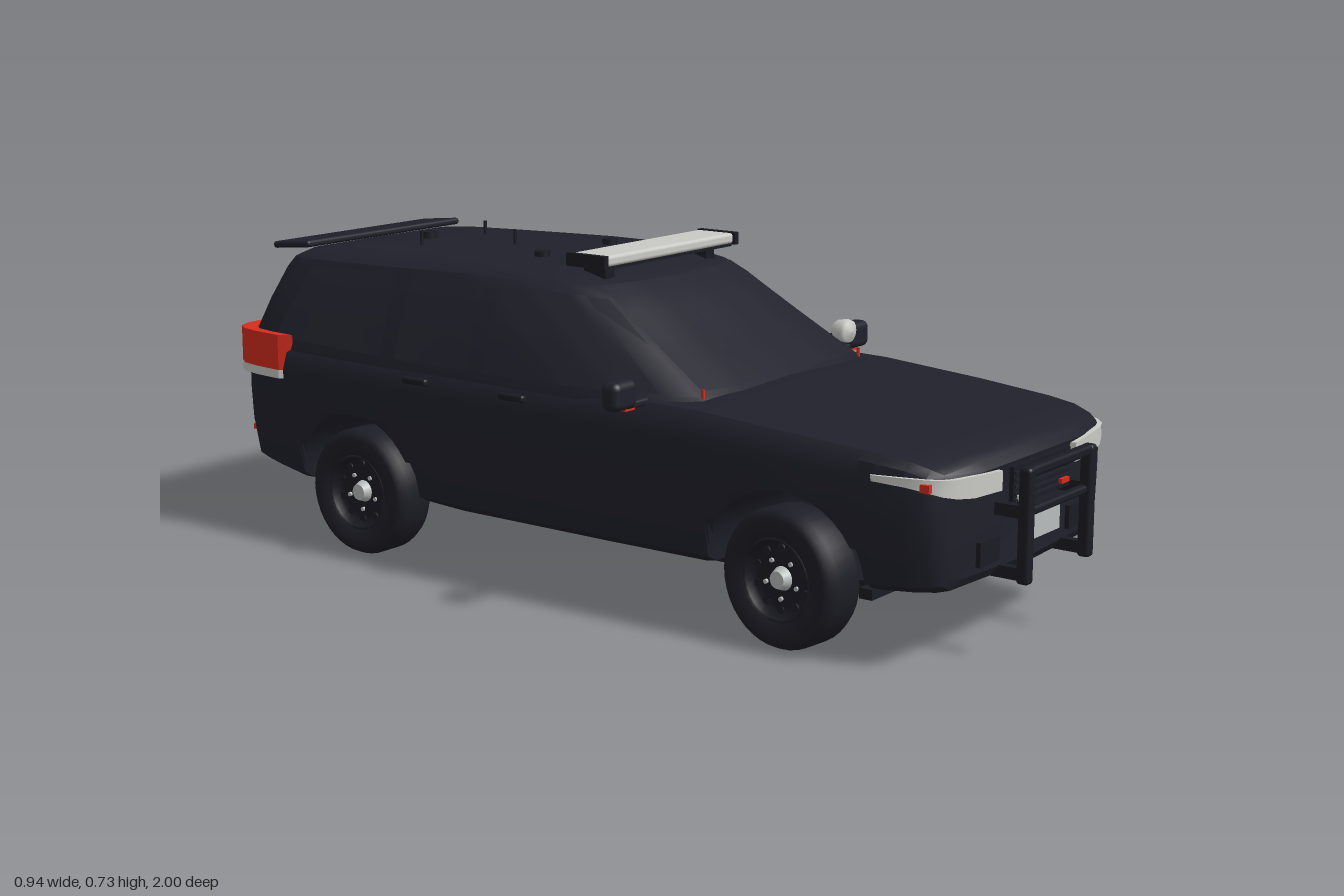
import * as THREE from 'three';
import { toCreasedNormals } from 'three/addons/utils/BufferGeometryUtils.js';
import { RoundedBoxGeometry } from 'three/addons/geometries/RoundedBoxGeometry.js';

const mat = (name, color, side = THREE.FrontSide) => {
  const m = new THREE.MeshStandardMaterial({ color, side });
  m.name = name;
  return m;
};

// Piecewise-linear lookup in rows sorted by their first column
function lerp(rows, v, col = 1) {
  if (v <= rows[0][0]) return rows[0][col];
  for (let i = 1; i < rows.length; i++) {
    const a = rows[i - 1], b = rows[i];
    if (v <= b[0]) return a[col] + (b[col] - a[col]) * (v - a[0]) / (b[0] - a[0] || 1);
  }
  return rows[rows.length - 1][col];
}

// Closed skin over rings of equal length, capped at both ends and turned outwards
function loft(rings, crease = 0.6) {
  const n = rings[0].length, pos = rings.flat(2), idx = [];
  for (let r = 0; r < rings.length - 1; r++)
    for (let i = 0; i < n; i++) {
      const a = r * n + i, b = r * n + (i + 1) % n;
      idx.push(a, b, a + n, b, b + n, a + n);
    }
  [0, rings.length - 1].forEach(r => {
    const c = [0, 1, 2].map(k => rings[r].reduce((s, p) => s + p[k], 0) / n);
    const ci = pos.length / 3;
    pos.push(...c);
    for (let i = 0; i < n; i++) {
      const a = r * n + i, b = r * n + (i + 1) % n;
      r ? idx.push(a, b, ci) : idx.push(b, a, ci);
    }
  });
  let volume = 0;
  const P = i => new THREE.Vector3().fromArray(pos, i * 3);
  for (let i = 0; i < idx.length; i += 3) volume += P(idx[i]).dot(P(idx[i + 1]).cross(P(idx[i + 2])));
  if (volume < 0) idx.reverse();
  const g = new THREE.BufferGeometry();
  g.setAttribute('position', new THREE.Float32BufferAttribute(pos, 3));
  g.setIndex(idx);
  return toCreasedNormals(g, crease);
}
const mirrorRing = half => [...half, ...half.slice(1, -1).reverse().map(p => [-p[0], p[1], p[2]])];

// Lower body stations: z, half width, bottom, top
const BODY = [
  [-0.992, 0.30, 0.2, 0.455], [-0.975, 0.338, 0.175, 0.468], [-0.95, 0.358, 0.165, 0.47], [-0.9, 0.372, 0.16, 0.47],
  [-0.8, 0.381, 0.145, 0.47], [-0.3, 0.384, 0.14, 0.47], [0.1, 0.383, 0.14, 0.47], [0.36, 0.378, 0.14, 0.465],
  [0.6, 0.372, 0.145, 0.448], [0.78, 0.36, 0.15, 0.433], [0.85, 0.352, 0.155, 0.425], [0.9, 0.341, 0.16, 0.412],
  [0.925, 0.327, 0.165, 0.402], [0.94, 0.30, 0.185, 0.385]];
const SECTION = [[0, 0], [0.86, 0], [0.94, 0.06], [0.985, 0.3], [1, 0.55], [1, 0.8], [0.985, 0.92], [0.94, 0.98], [0.6, 1.01], [0, 1.03]];
const AXLES = [0.57, -0.59], WHEEL_R = 0.145, ARCH_R = 0.183;

function bodyGeometry() {
  const stations = BODY.map(r => [r[0], r[2]]).filter(s => AXLES.every(c => Math.abs(s[0] - c) > ARCH_R));
  for (const c of AXLES)
    for (let i = 0; i <= 18; i++) {
      const a = i * Math.PI / 18;
      stations.push([c + ARCH_R * Math.cos(a), 0.145 + ARCH_R * Math.sin(a)]);
    }
  stations.sort((a, b) => a[0] - b[0]);
  return loft(stations.map(([z, floor]) => {
    const w = lerp(BODY, z, 1), yb = lerp(BODY, z, 2), top = lerp(BODY, z, 3);
    const bow = z > 0.8 ? -0.025 * (z - 0.8) / 0.14 : z < -0.9 ? 0.01 : 0;
    return mirrorRing(SECTION.map(([u, f]) => [u * w, Math.max(yb + f * (top - yb), floor), z + bow * u * u]));
  }));
}

// Cabin levels: y, front z, rear z, half width
const CABIN = [
  [0.44, 0.40, -0.98, 0.376], [0.47, 0.355, -0.972, 0.371], [0.56, 0.205, -0.945, 0.341], [0.64, 0.08, -0.915, 0.31],
  [0.665, 0.03, -0.9, 0.297], [0.682, -0.03, -0.87, 0.268], [0.69, -0.15, -0.8, 0.2]];
function cabinOutline(y) {
  const [f, r, w] = [1, 2, 3].map(k => lerp(CABIN, y, k));
  return [[0, f], [0.5 * w, f - 0.008], [0.8 * w, f - 0.035], [0.9 * w, f - 0.09], [0.97 * w, f - 0.2], [w, f - 0.33],
    [w, -0.5], [0.99 * w, r + 0.2], [0.965 * w, r + 0.08], [0.9 * w, r + 0.025], [0.8 * w, r + 0.006], [0, r]];
}
const roofDrop = (y, z) => y - 0.018 * Math.max(0, -z - 0.3) / 0.6 * Math.max(0, (y - 0.47) / 0.22);
const cabinGeometry = () => loft(CABIN.map(([y]) =>
  mirrorRing(cabinOutline(y).map(([x, z]) => [x, roofDrop(y, z), z]))), 0.5);
const sideX = (z, y) => lerp(cabinOutline(y).map(([x, zz]) => [zz, x]).reverse(), z);
const frontZ = (x, y) => lerp(cabinOutline(y).slice(0, 5), Math.abs(x));
const rearZ = (x, y) => lerp(cabinOutline(y).slice(-4).reverse(), Math.abs(x));

// Glass grid between four corners, laid on the cabin by a rule
function pane(corners, place) {
  const g = new THREE.PlaneGeometry(1, 1, 12, 8), p = g.attributes.position;
  const [a, b, c, d] = corners; // bottom start, bottom end, top end, top start
  for (let i = 0; i < p.count; i++) {
    const u = p.getX(i) + 0.5, v = p.getY(i) + 0.5;
    const q = [0, 1].map(k => (a[k] * (1 - u) + b[k] * u) * (1 - v) + (d[k] * (1 - u) + c[k] * u) * v);
    p.setXYZ(i, ...place(q[0], q[1]));
  }
  g.computeVertexNormals();
  return g;
}

// Lamp wrapping a corner: points are x, z, bottom, top
const band = (points, s) => loft(points.map(([x, z, y0, y1]) =>
  [[s * x, y0, z], [s * x, y1, z], [s * x * 0.95, y1, z * 0.965], [s * x * 0.95, y0, z * 0.965]]), 0.5);

export function createModel() {
  const paint = mat('navy paint', 0x20202b), glass = mat('dark glass', 0x22222d, THREE.DoubleSide);
  const trim = mat('dark trim', 0x1b1b24), rubber = mat('tyre rubber', 0x1d1d26);
  const light = mat('clear lens', 0xc9c9c5), red = mat('red lens', 0xd52c1e), metal = mat('pale metal', 0xb9bcbc);
  const car = new THREE.Group();
  car.name = 'utilityVehicle';

  const add = (name, geo, m, x = 0, y = 0, z = 0, parent = car) => {
    const mesh = new THREE.Mesh(geo, m);
    mesh.name = name;
    mesh.position.set(x, y, z);
    parent.add(mesh);
    return mesh;
  };
  const box = (name, m, w, h, d, x, y, z) => add(name, new THREE.BoxGeometry(w, h, d), m, x, y, z);
  const round = (name, m, w, h, d, r, x, y, z) => add(name, new RoundedBoxGeometry(w, h, d, 3, r), m, x, y, z);
  const rod = (name, m, r, h, x, y, z) => add(name, new THREE.CylinderGeometry(r, r, h, 14), m, x, y, z);

  add('lowerBody', bodyGeometry(), paint);
  add('cabin', cabinGeometry(), paint);
  box('floorPan', trim, 0.52, 0.022, 1.5, 0, 0.132, -0.025);
  box('frontCrossbar', trim, 0.6, 0.022, 0.03, 0, 0.13, 0.73);
  box('rearCrossbar', trim, 0.6, 0.022, 0.03, 0, 0.135, -0.78);

  // Glass
  add('windshield', pane([[-0.28, 0.478], [0.28, 0.478], [0.235, 0.66], [-0.235, 0.66]],
    (x, y) => [x, y + 0.002, frontZ(x, y) + 0.004]), glass);
  add('rearWindow', pane([[-0.27, 0.5], [0.27, 0.5], [0.235, 0.645], [-0.235, 0.645]],
    (x, y) => [x, roofDrop(y, -0.93), rearZ(x, y) - 0.004]), glass);
  const WINDOWS = [
    [[0.25, 0.475], [-0.205, 0.468], [-0.205, 0.653], [0.0, 0.645]],
    [[-0.25, 0.468], [-0.465, 0.47], [-0.465, 0.655], [-0.25, 0.655]],
    [[-0.51, 0.47], [-0.85, 0.478], [-0.79, 0.65], [-0.51, 0.655]]];

  for (const s of [1, -1]) {
    WINDOWS.forEach((w, i) => add('sideWindow' + (i + 1),
      pane(w, (z, y) => [s * (sideX(z, y) + 0.003), roofDrop(y, z), z]), glass));
    for (const z of [-0.11, -0.39]) round('doorHandle', trim, 0.016, 0.016, 0.07, 0.006, s * 0.384, 0.43, z);

    // Lamps
    add('headlight', band([[0.15, 0.943, 0.342, 0.382], [0.24, 0.933, 0.343, 0.386], [0.29, 0.925, 0.35, 0.388],
      [0.322, 0.912, 0.358, 0.39], [0.343, 0.89, 0.367, 0.392], [0.355, 0.85, 0.374, 0.392], [0.364, 0.78, 0.378, 0.39]], s), light);
    box('frontMarker', red, 0.012, 0.016, 0.02, s * 0.345, 0.376, 0.888);
    const corner = [[0.386, -0.82], [0.379, -0.9], [0.368, -0.95], [0.346, -0.982], [0.31, -0.997], [0.22, -1]];
    add('tailLight', band(corner.map(([x, z]) => [x, z, 0.403, 0.485]), s), red);
    add('reverseLight', band(corner.map(([x, z]) => [x, z, 0.383, 0.403]), s), light);
    box('rearReflector', red, 0.075, 0.012, 0.01, s * 0.275, 0.235, -0.985);
    box('windshieldCornerMark', red, 0.005, 0.022, 0.006, s * 0.29, 0.475, 0.325);

    // Mirrors
    round('mirrorHead', paint, 0.074, 0.06, 0.045, 0.016, s * 0.432, 0.485, 0.22);
    round('mirrorArm', paint, 0.07, 0.016, 0.03, 0.006, s * 0.385, 0.461, 0.22);
    box('mirrorMark', red, 0.03, 0.004, 0.02, s * 0.415, 0.454, 0.225);

    // Push bar uprights
    round('pushBarUpright', trim, 0.026, 0.235, 0.028, 0.008, s * 0.126, 0.273, 0.984);
    for (const y of [0.175, 0.3]) box('pushBarBracket', trim, 0.02, 0.025, 0.07, s * 0.126, y, 0.945);
    box('lowerIntake', trim, 0.075, 0.05, 0.01, s * 0.18, 0.225, 0.932);
    box('lightBarCap', trim, 0.014, 0.028, 0.105, s * 0.235, 0.712, -0.023);
    box('lightBarFoot', trim, 0.03, 0.035, 0.06, s * 0.18, 0.685, -0.035);
    rod('roofDome', trim, 0.018, 0.016, s * 0.12, 0.693, -0.245);
    rod('roofAntenna', trim, 0.004, 0.035, s * 0.11, 0.695, -0.62);
  }

  // Front details
  box('grille', trim, 0.23, 0.08, 0.01, 0, 0.342, 0.943);
  for (let i = 0; i < 5; i++) box('grilleSlat', paint, 0.225, 0.005, 0.006, 0, 0.314 + i * 0.014, 0.949);
  box('grilleLampLeft', red, 0.032, 0.01, 0.008, 0.083, 0.319, 0.953);
  box('grilleLampRight', light, 0.032, 0.01, 0.008, -0.087, 0.319, 0.953);
  box('frontPlate', metal, 0.115, 0.06, 0.008, 0, 0.256, 0.956);
  round('pushBarTop', trim, 0.27, 0.022, 0.024, 0.008, 0, 0.38, 0.984);
  round('pushBarMiddle', trim, 0.24, 0.018, 0.02, 0.007, 0, 0.298, 0.98);
  for (const x of [-0.08, 0.08]) box('hoodStop', trim, 0.02, 0.015, 0.03, x, 0.36, 0.95);

  // Rear details
  box('rearPlate', metal, 0.11, 0.055, 0.008, 0, 0.335, -0.994);
  const spoiler = round('spoiler', paint, 0.52, 0.016, 0.12, 0.007, 0, 0.673, -0.9);
  spoiler.rotation.x = -0.1;
  box('highBrakeLight', red, 0.13, 0.008, 0.008, 0, 0.657, -0.957);
  box('tailgateHandle', metal, 0.06, 0.008, 0.008, 0, 0.482, -0.972);

  // Roof equipment
  round('lightBar', light, 0.456, 0.024, 0.1, 0.008, 0, 0.713, -0.023);
  box('lightBarBase', trim, 0.45, 0.008, 0.09, 0, 0.699, -0.023);
  rod('rearRoofDome', trim, 0.02, 0.016, 0, 0.685, -0.7);
  rod('centreAntenna', trim, 0.004, 0.04, 0, 0.7, -0.43);

  // Spotlight on the left pillar
  const lamp = new THREE.LatheGeometry([[0, -0.026], [0.014, -0.024], [0.024, -0.012], [0.027, 0.01], [0.025, 0.02], [0, 0.026]]
    .map(p => new THREE.Vector2(...p)), 24);
  add('spotlight', lamp, light, 0.357, 0.506, 0.24).rotation.x = Math.PI / 2;
  box('spotlightStem', trim, 0.012, 0.05, 0.012, 0.345, 0.475, 0.225);

  // Wheels, the front pair steered slightly
  const tyre = new THREE.LatheGeometry([[0.088, -0.05], [0.125, -0.052], [0.139, -0.044], [0.145, -0.03], [0.145, 0.03],
    [0.139, 0.044], [0.125, 0.052], [0.088, 0.05], [0.082, 0.03], [0.082, -0.03], [0.088, -0.05]].map(p => new THREE.Vector2(...p)), 40);
  const rim = new THREE.LatheGeometry([[0, -0.02], [0.083, -0.02], [0.088, 0.046], [0.08, 0.046], [0.074, 0.026], [0.055, 0.032],
    [0.035, 0.026], [0, 0.026]].map(p => new THREE.Vector2(...p)), 32);
  const hub = new THREE.CylinderGeometry(0.018, 0.026, 0.02, 20), nut = new THREE.CylinderGeometry(0.005, 0.005, 0.006, 8);
  const vent = new THREE.CylinderGeometry(0.009, 0.009, 0.004, 10);
  for (const z of AXLES)
    for (const s of [1, -1]) {
      const wheel = new THREE.Group();
      wheel.name = (z > 0 ? 'front' : 'rear') + (s > 0 ? 'LeftWheel' : 'RightWheel');
      wheel.position.set(s * 0.325, WHEEL_R, z);
      wheel.rotation.set(0, z > 0 ? -0.1 : 0, -s * Math.PI / 2);
      car.add(wheel);
      add('tyre', tyre, rubber, 0, 0, 0, wheel);
      add('rim', rim, trim, 0, 0, 0, wheel);
      add('hubCap', hub, metal, 0, 0.034, 0, wheel);
      for (let i = 0; i < 10; i++) {
        const a = i * Math.PI / 5;
        add('rimVent', vent, rubber, 0.063 * Math.cos(a), 0.03, 0.063 * Math.sin(a), wheel);
        if (i % 2) add('wheelNut', nut, metal, 0.042 * Math.cos(a), 0.03, 0.042 * Math.sin(a), wheel);
      }
    }
  return car;
}
